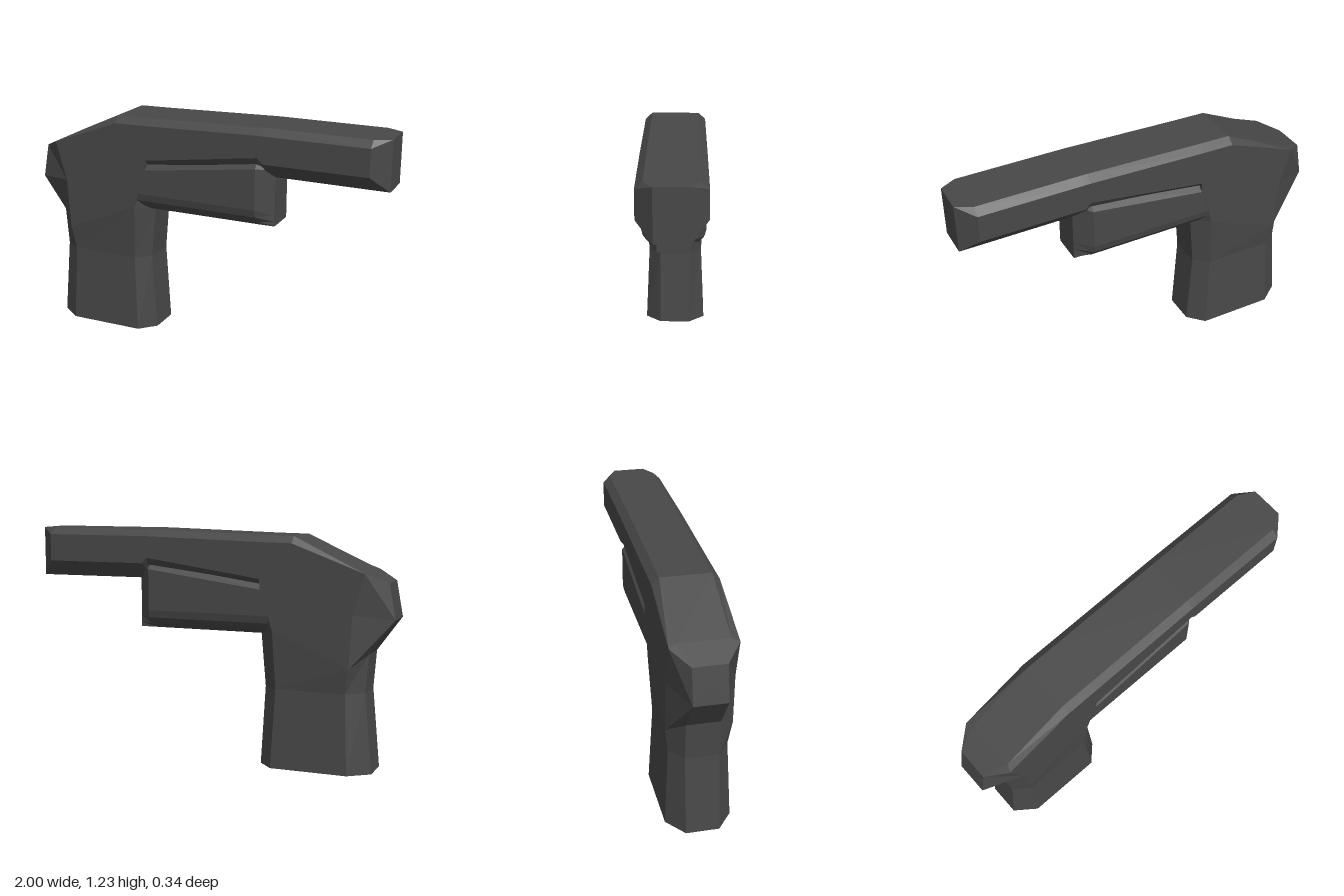
import * as THREE from 'three';

const material = new THREE.MeshStandardMaterial({ color: 0x484848, flatShading: true });

// Skins a row of cross-sections. Each section lists [x, y, z] for the +z half;
// the other half is mirrored, and both ends are capped.
function loft(name, halves) {
  const rings = halves.map(half => [
    ...half.map(p => new THREE.Vector3(...p)),
    ...half.slice().reverse().map(([x, y, z]) => new THREE.Vector3(x, y, -z)),
  ]);
  const n = rings[0].length;
  let tris = [];
  const add = (a, b, c) => {
    const area = b.clone().sub(a).cross(c.clone().sub(a)).length();
    if (area > 1e-7) tris.push([a, b, c]);
  };
  for (let i = 0; i + 1 < rings.length; i++) {
    for (let j = 0; j < n; j++) {
      const k = (j + 1) % n;
      const [a, b, c, d] = [rings[i][j], rings[i][k], rings[i + 1][k], rings[i + 1][j]];
      add(a, b, c);
      add(a, c, d);
    }
  }
  const cap = (ring, flip) => {
    const mid = ring.reduce((s, p) => s.add(p), new THREE.Vector3()).divideScalar(n);
    ring.forEach((p, j) => {
      const q = ring[(j + 1) % n];
      if (flip) add(mid, q, p); else add(mid, p, q);
    });
  };
  cap(rings[0], true);
  cap(rings[rings.length - 1], false);
  // Turn all faces outward if the enclosed volume is negative
  const volume = tris.reduce((s, [a, b, c]) => s + a.dot(b.clone().cross(c)), 0);
  if (volume < 0) tris = tris.map(([a, b, c]) => [a, c, b]);
  const geometry = new THREE.BufferGeometry().setFromPoints(tris.flat());
  geometry.computeVertexNormals();
  const mesh = new THREE.Mesh(geometry, material);
  mesh.name = name;
  return mesh;
}

const W = 0.168; // half width of the side walls
const E = 0.085; // half width of the narrow end faces

// Upright section of the barrel: top edge, side top, side bottom, bottom edge
const section = (x, top, sideTop, sideBottom, bottom, zBottom) => [
  [x, top, 0.13], [x, sideTop, W], [x, sideBottom, W], [x, bottom, zBottom],
];

// Horizontal section of the grip: rear edge, rear of side, front of side, front edge
const gripSection = (y, rear, sideRear, sideFront, front, w) => [
  [rear, y, E], [sideRear, y, w], [sideFront, y, w], [front, y, E],
];

export function createModel() {
  const model = new THREE.Group();
  model.name = 'blaster';

  // Rear housing and long chamfered barrel
  model.add(loft('barrelHousing', [
    [[-0.965, 0.985, E], [-0.965, 0.985, E], [-1, 0.8, E], [-1, 0.8, E]],
    [[-0.84, 1.045, 0.13], [-0.86, 1.033, W], [-0.8, 0.822, W], [-0.8, 0.81, 0.12]],
    section(-0.48, 1.21, 1.175, 0.908, 0.9, 0.12),
    section(-0.31, 1.213, 1.178, 0.957, 0.94, 0.12),
    section(-0.306, 1.213, 1.178, 0.99, 0.94, 0.12),
    section(0.33, 1.23, 1.195, 1.08, 1.0, 0.12),
    section(0.36, 1.23, 1.195, 1.05, 0.967, E),
    section(0.915, 1.23, 1.195, 1.05, 0.965, E),
    [[1, 1.23, E], [1, 1.23, E], [1, 0.965, E], [1, 0.965, E]],
  ]));

  // Waisted grip flaring into the housing
  model.add(loft('grip', [
    gripSection(0, -0.895, -0.785, -0.375, -0.295, W),
    gripSection(0.42, -0.855, -0.765, -0.395, -0.32, 0.15),
    [[-0.87, 0.62, E], [-0.785, 0.55, W], [-0.38, 0.72, W], [-0.295, 0.7, E]],
    [[-1, 0.8, E], [-0.8, 0.822, W], [-0.31, 0.957, W], [-0.295, 0.95, E]],
  ]));

  // Block under the barrel, with a rounded belly and a groove along its top
  const blockSection = (x, top) => [
    [x, top + 0.05, 0.12], [x, top, W - 0.001], [x, 0.8, W - 0.001],
    [x, 0.76, 0.157], [x, 0.725, 0.128], [x, 0.705, 0.1], [x, 0.7, E],
  ];
  model.add(loft('underBarrelBlock', [
    blockSection(-0.4, 0.92),
    blockSection(-0.31, 0.935),
    blockSection(0.32, 1.02),
    [1.03, 1.0, 0.8, 0.76, 0.725, 0.705, 0.7].map(y => [0.4, y, E]),
  ]));

  return model;
}
